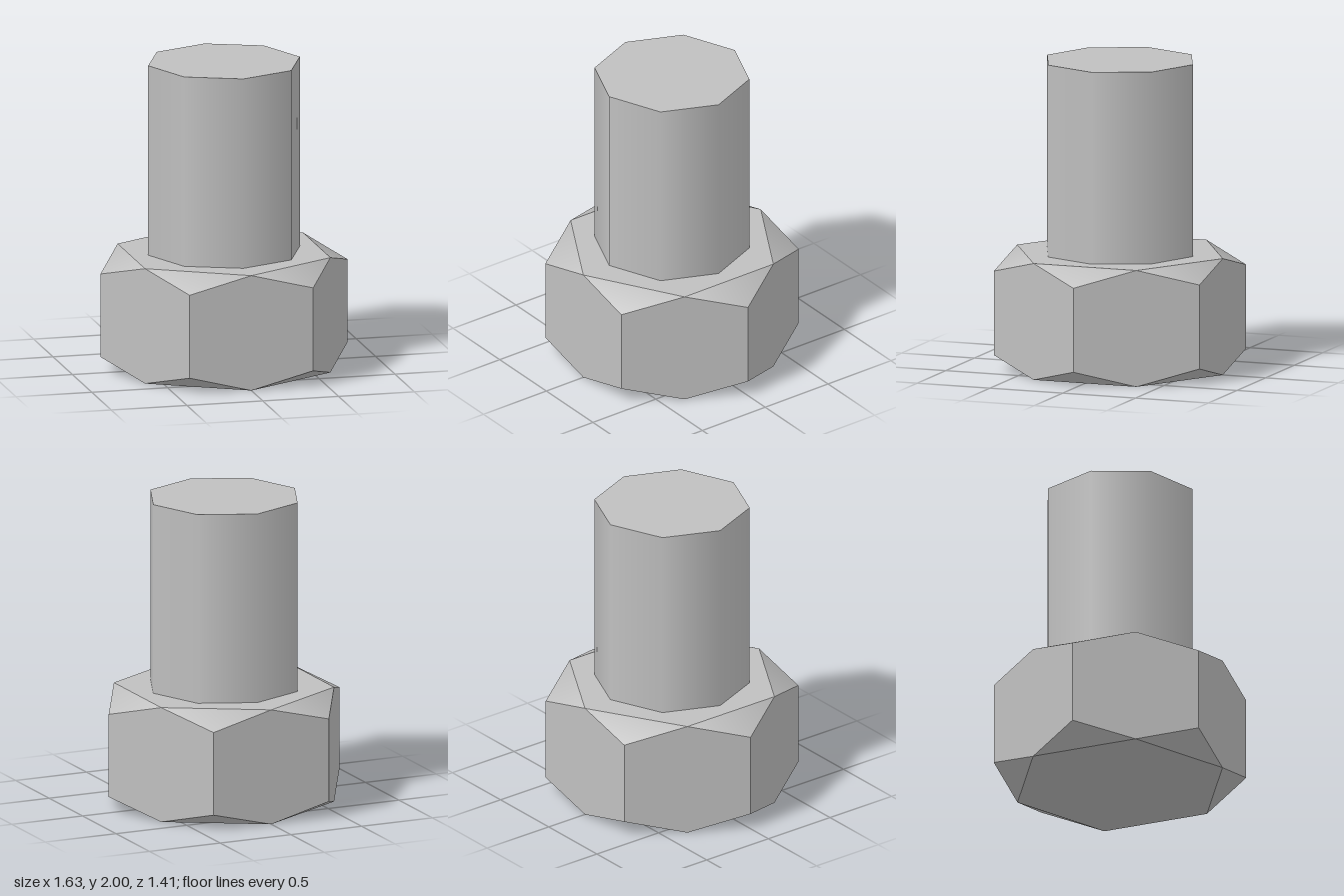
import * as THREE from 'three';

const steel = new THREE.MeshStandardMaterial({ color: 0xc0c0c0 });
steel.name = 'steel grey';

const CORNER = 0.815, FLAT = 0.706;   // head radius to corners and to flats
const HEIGHT = 0.755, CHAMFER = 0.105;
const SHANK_RADIUS = 0.5, TOP = 2;

// Point on a ring, counter-clockwise seen from above; step counts sixths of a turn
function ring(radius, step, y) {
  const a = step * Math.PI / 3;
  return new THREE.Vector3(radius * Math.cos(a), y, -radius * Math.sin(a));
}

// Hexagonal head: six-cornered flats, conical corner chamfers, hexagonal caps
function headGeometry() {
  const positions = [], normals = [];
  const addFan = (points, normalAt) => {
    for (let i = 1; i < points.length - 1; i++) {
      for (const p of [points[0], points[i], points[i + 1]]) {
        positions.push(p.x, p.y, p.z);
        normals.push(...normalAt(p).toArray());
      }
    }
  };

  // Side flats
  for (let i = 0; i < 6; i++) {
    const outward = ring(1, i + 0.5, 0);
    addFan([
      ring(CORNER, i, CHAMFER), ring(FLAT, i + 0.5, 0), ring(CORNER, i + 1, CHAMFER),
      ring(CORNER, i + 1, HEIGHT - CHAMFER), ring(FLAT, i + 0.5, HEIGHT), ring(CORNER, i, HEIGHT - CHAMFER),
    ], () => outward);
  }

  // Caps and chamfers, top then bottom
  for (const up of [1, -1]) {
    const capY = up > 0 ? HEIGHT : 0;
    const cornerY = capY - up * CHAMFER;
    const ordered = (points) => (up > 0 ? points : points.reverse());
    const cap = [];
    for (let i = 0; i < 6; i++) {
      cap.push(ring(FLAT, i + 0.5, capY));
      addFan(
        ordered([ring(FLAT, i - 0.5, capY), ring(CORNER, i, cornerY), ring(FLAT, i + 0.5, capY)]),
        (p) => new THREE.Vector3(p.x, 0, p.z).normalize().setY(up * 1.2).normalize(),
      );
    }
    addFan(ordered(cap), () => new THREE.Vector3(0, up, 0));
  }

  const geometry = new THREE.BufferGeometry();
  geometry.setAttribute('position', new THREE.Float32BufferAttribute(positions, 3));
  geometry.setAttribute('normal', new THREE.Float32BufferAttribute(normals, 3));
  return geometry;
}

export function createModel() {
  const bolt = new THREE.Group();
  bolt.name = 'hexBolt';

  const head = new THREE.Mesh(headGeometry(), steel);
  head.name = 'head';

  // Eight-sided shank with smooth side normals
  const length = TOP - HEIGHT;
  const shank = new THREE.Mesh(new THREE.CylinderGeometry(SHANK_RADIUS, SHANK_RADIUS, length, 8), steel);
  shank.name = 'shank';
  shank.position.y = HEIGHT + length / 2;

  bolt.add(head, shank);
  return bolt;
}
